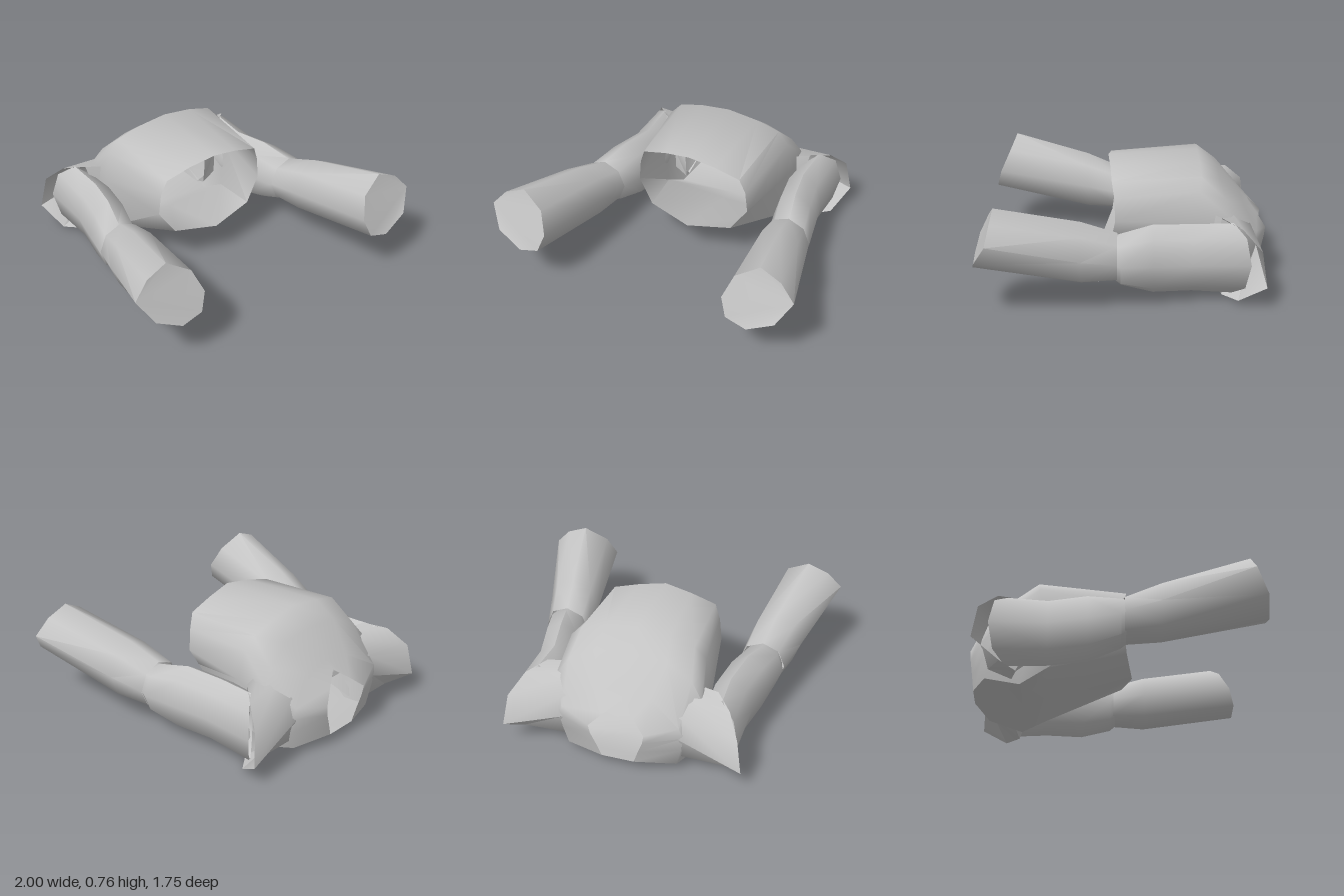
import * as THREE from 'three';
import { toCreasedNormals } from 'three/addons/utils/BufferGeometryUtils.js';

const cloth = new THREE.MeshStandardMaterial({ color: 0xc4c4c4, side: THREE.DoubleSide });
cloth.name = 'grey cloth';

// Skins a list of closed rings; side -1 mirrors the part across x = 0.
function loft(name, rings, side = 1, closeEnd = false) {
  const n = rings[0].length;
  const pos = [];
  const index = [];
  const tri = (a, b, c) => (side > 0 ? index.push(a, b, c) : index.push(a, c, b));
  rings.forEach((ring) => ring.forEach(([x, y, z]) => pos.push(x * side, y, z)));
  for (let i = 0; i < rings.length - 1; i++) {
    for (let j = 0; j < n; j++) {
      const a = i * n + j;
      const b = i * n + ((j + 1) % n);
      tri(a, b, a + n);
      tri(b, b + n, a + n);
    }
  }
  if (closeEnd) {
    const last = (rings.length - 1) * n;
    for (let j = 1; j < n - 1; j++) tri(last, last + j, last + j + 1);
  }
  const geometry = new THREE.BufferGeometry();
  geometry.setAttribute('position', new THREE.Float32BufferAttribute(pos, 3));
  geometry.setIndex(index);
  const mesh = new THREE.Mesh(toCreasedNormals(geometry, 0.96), cloth);
  mesh.name = name;
  return mesh;
}

// Completes a half section (top centre to bottom centre) into a symmetric ring.
function symmetric(half) {
  const mirrored = half.slice(1, -1).map(([x, y, z]) => [-x, y, z]);
  return [...half].reverse().concat(mirrored);
}

// Eight-sided oval; shear moves the outer side along z.
function oval(cx, cy, cz, rx, ry, shear = 0) {
  return Array.from({ length: 8 }, (_, i) => {
    const a = (i * Math.PI) / 4;
    return [cx + rx * Math.cos(a), cy + ry * Math.sin(a), cz + shear * Math.cos(a)];
  });
}

// Torso sections from the V neck to the waist opening
const torsoSections = [
  [[0, 0.45, -0.77], [0.09, 0.38, -0.825], [0.17, 0.31, -0.875], [0.16, 0.25, -0.87], [0.13, 0.17, -0.86], [0.1, 0.08, -0.85], [0, 0.08, -0.85]],
  [[0, 0.5, -0.72], [0.17, 0.47, -0.73], [0.36, 0.35, -0.8], [0.385, 0.28, -0.79], [0.37, 0.18, -0.78], [0.34, 0.06, -0.77], [0, 0.065, -0.77]],
  [[0, 0.66, -0.58], [0.22, 0.64, -0.58], [0.38, 0.56, -0.61], [0.45, 0.46, -0.64], [0.46, 0.32, -0.64], [0.39, 0.005, -0.56], [0, 0.035, -0.55]],
  [[0, 0.765, -0.45], [0.2, 0.735, -0.46], [0.35, 0.695, -0.46], [0.42, 0.62, -0.45], [0.46, 0.44, -0.44], [0.42, 0.1, -0.4], [0, 0.09, -0.4]],
  [[0, 0.73, 0.1], [0.17, 0.7, 0.085], [0.33, 0.655, 0.075], [0.365, 0.56, 0.06], [0.38, 0.42, 0.055], [0.28, 0.27, 0.08], [0, 0.225, 0.13]],
];

// Shoulder cap: armhole ring and slanted flared rim
const armhole = [
  [0.36, 0.27, -0.8], [0.35, 0.4, -0.76], [0.34, 0.48, -0.64], [0.34, 0.47, -0.5],
  [0.31, 0.27, -0.44], [0.32, 0.12, -0.47], [0.37, 0.04, -0.61], [0.36, 0.11, -0.75],
];
const capRim = [
  [0.74, 0.14, -0.83], [0.705, 0.35, -0.8], [0.63, 0.46, -0.69], [0.53, 0.495, -0.575],
  [0.49, 0.34, -0.54], [0.49, 0.17, -0.52], [0.55, 0.02, -0.58], [0.67, 0.03, -0.67],
];

// Slanted cuff at the end of the forearm
const cuff = [
  [1, 0.49, 0.77], [0.91, 0.59, 0.75], [0.78, 0.645, 0.74], [0.64, 0.56, 0.78],
  [0.59, 0.43, 0.84], [0.63, 0.32, 0.87], [0.76, 0.28, 0.87], [0.92, 0.36, 0.845],
];

function createSleeve(side) {
  const sleeve = new THREE.Group();
  sleeve.name = side > 0 ? 'leftSleeve' : 'rightSleeve';
  sleeve.add(
    loft('shoulderCap', [armhole, capRim], side),
    loft('upperArm', [
      oval(0.57, 0.26, -0.64, 0.125, 0.22, -0.1),
      oval(0.56, 0.26, -0.4, 0.135, 0.21),
      oval(0.605, 0.272, -0.17, 0.14, 0.213),
      oval(0.65, 0.285, 0.02, 0.138, 0.16),
      oval(0.65, 0.305, 0.09, 0.115, 0.12),
    ], side),
    loft('forearm', [
      oval(0.65, 0.302, 0.04, 0.143, 0.148),
      oval(0.685, 0.342, 0.25, 0.165, 0.188),
      cuff,
    ], side, true),
  );
  return sleeve;
}

export function createModel() {
  const model = new THREE.Group();
  model.name = 'shirt';
  model.add(loft('torso', torsoSections.map(symmetric)), createSleeve(1), createSleeve(-1));
  return model;
}
